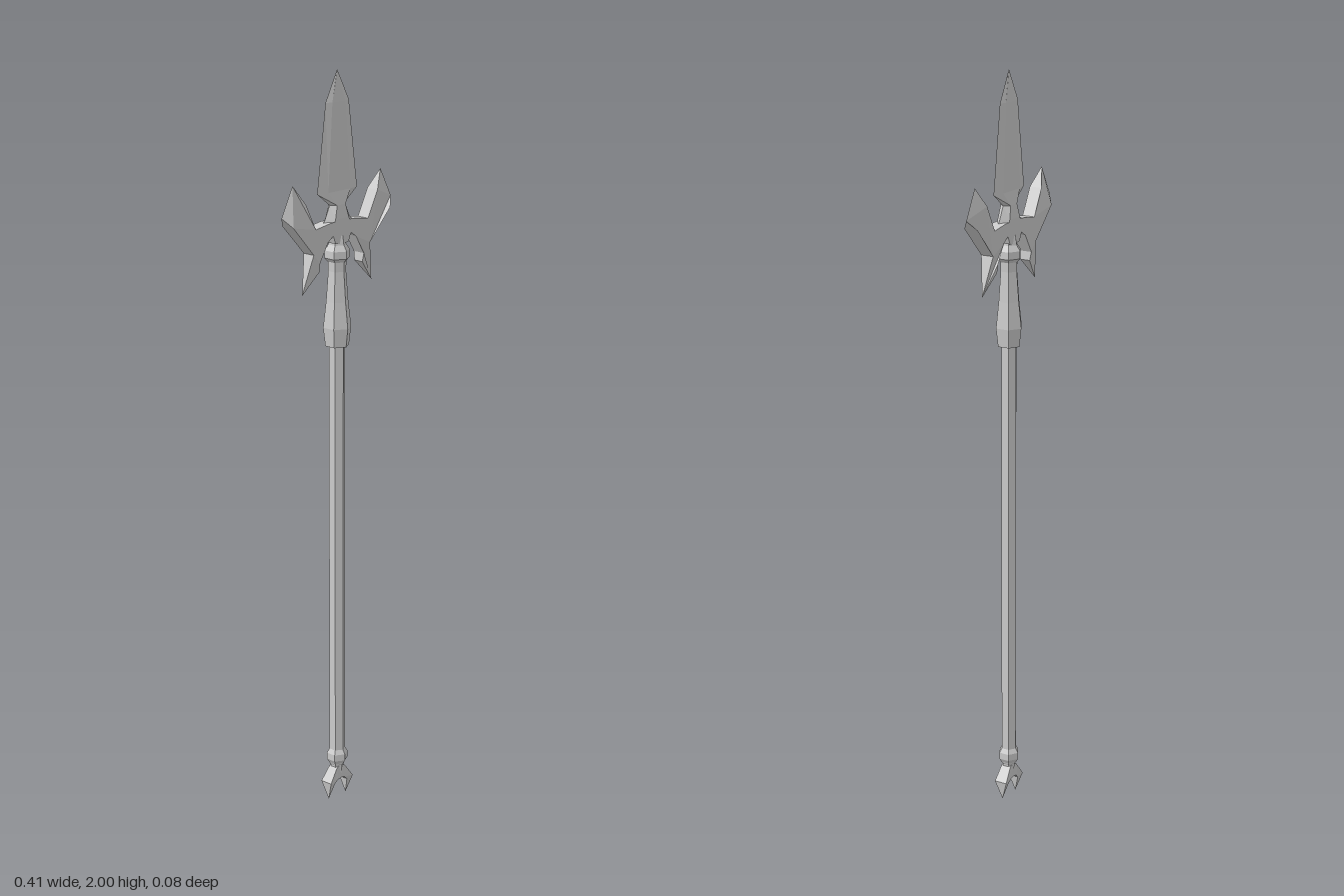
import * as THREE from 'three';

const material = new THREE.MeshStandardMaterial({ color: 0xcccccc, flatShading: true });

function addMesh(group, name, geometry) {
  const mesh = new THREE.Mesh(geometry, material);
  mesh.name = name;
  group.add(mesh);
}

function fromTriangles(triangles) {
  const geometry = new THREE.BufferGeometry();
  geometry.setAttribute('position', new THREE.Float32BufferAttribute(triangles.flat(2), 3));
  geometry.computeVertexNormals();
  return geometry;
}

// Six-sided turned part from [radius, y] pairs, listed bottom to top
function turned(profile) {
  const points = profile.map(([r, y]) => new THREE.Vector2(r, y));
  return new THREE.LatheGeometry(points, 6).toNonIndexed();
}

// Mirrored plate from a right-hand outline of [x, y, half thickness], top centre to
// bottom centre; a half thickness of 0 gives a sharp point
function plate(half) {
  const mirrored = half.filter(p => p[0] > 0).reverse().map(([x, y, t]) => [-x, y, t]);
  const outline = [...half, ...mirrored].reverse();
  const front = outline.map(([x, y, t]) => [x, y, t]);
  const back = outline.map(([x, y, t]) => [x, y, -t]);
  const triangles = [];
  const faces = THREE.ShapeUtils.triangulateShape(outline.map(p => new THREE.Vector2(p[0], p[1])), []);
  for (const [a, b, c] of faces) {
    triangles.push([front[a], front[b], front[c]], [back[c], back[b], back[a]]);
  }
  // Side walls, leaving out collapsed triangles
  outline.forEach((p, i) => {
    const j = (i + 1) % outline.length;
    if (p[2] > 0) triangles.push([front[i], back[i], back[j]]);
    if (outline[j][2] > 0) triangles.push([front[i], back[j], front[j]]);
  });
  return fromTriangles(triangles);
}

// Bevelled blade lofted through flattened hexagons of [y, half width, half thickness]
function blade(sections) {
  const rings = sections.map(([y, w, t]) => [
    [w, y, 0], [w * 0.55, y, t], [-w * 0.55, y, t],
    [-w, y, 0], [-w * 0.55, y, -t], [w * 0.55, y, -t],
  ]);
  const triangles = [];
  for (let r = 0; r < rings.length - 1; r++) {
    for (let i = 0; i < 6; i++) {
      const j = (i + 1) % 6;
      const [a, b, c, d] = [rings[r][i], rings[r][j], rings[r + 1][j], rings[r + 1][i]];
      triangles.push([a, c, b], [a, d, c]);
    }
  }
  return fromTriangles(triangles);
}

export function createModel() {
  const spear = new THREE.Group();
  spear.name = 'spear';

  // Pole and its turned fittings
  addMesh(spear, 'shaft', turned([[0, 0.1], [0.022, 0.1], [0.022, 1.3], [0, 1.3]]));
  addMesh(spear, 'socket', turned([
    [0, 1.28], [0.032, 1.28], [0.038, 1.33], [0.03, 1.4], [0.024, 1.48], [0.025, 1.505],
    [0.034, 1.515], [0.034, 1.535], [0.024, 1.55], [0.02, 1.575], [0, 1.575],
  ]));
  addMesh(spear, 'buttCollar', turned([
    [0, 0.065], [0.016, 0.07], [0.018, 0.095], [0.029, 0.112], [0.029, 0.13], [0.022, 0.142], [0, 0.142],
  ]));

  // Forked butt
  addMesh(spear, 'buttFork', plate([
    [0, 0.095, 0.014], [0.015, 0.09, 0.014], [0.043, 0.052, 0.018],
    [0.033, 0, 0], [0.024, 0.045, 0.014], [0.012, 0.056, 0.016], [0, 0.058, 0.016],
  ]));

  // Winged guard with upswept prongs and lower barbs
  addMesh(spear, 'guard', plate([
    [0, 1.615, 0.018], [0.045, 1.613, 0.018], [0.097, 1.605, 0.018], [0.133, 1.675, 0.018],
    [0.163, 1.725, 0], [0.203, 1.648, 0], [0.18, 1.622, 0.02], [0.105, 1.54, 0.018],
    [0.13, 1.435, 0], [0.08, 1.492, 0.014], [0.082, 1.515, 0.018], [0.052, 1.565, 0.018],
    [0.033, 1.578, 0.018], [0.024, 1.556, 0.018], [0, 1.552, 0.018],
  ]));

  // Leaf-shaped blade on a waisted neck
  addMesh(spear, 'blade', blade([
    [1.6, 0.06, 0.018], [1.62, 0.045, 0.018], [1.655, 0.028, 0.015],
    [1.69, 0.074, 0.008], [1.92, 0.043, 0.006], [2, 0.0005, 0.0005],
  ]));

  return spear;
}
